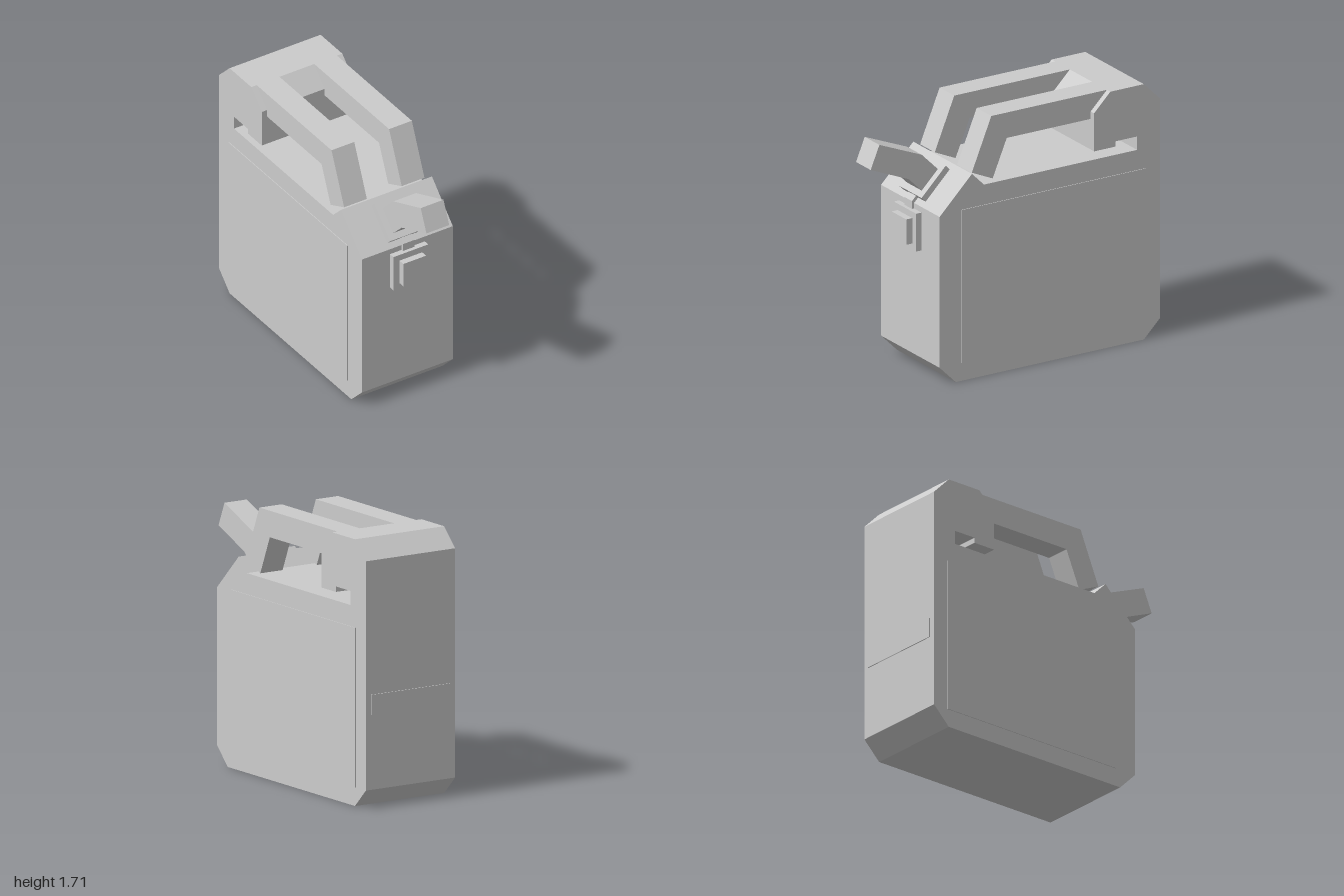
import * as THREE from 'three';

const material = new THREE.MeshStandardMaterial({ color: 0xcccccc, flatShading: true });

export function createModel() {
  const model = new THREE.Group();

  // Side profile of [z, y] points, extruded across x and centred on cx
  function slab(name, points, width, cx = 0) {
    const shape = new THREE.Shape(points.map(([z, y]) => new THREE.Vector2(z, y)));
    const geometry = new THREE.ExtrudeGeometry(shape, { depth: width, bevelEnabled: false });
    geometry.translate(0, 0, -width / 2).rotateY(-Math.PI / 2);
    const mesh = new THREE.Mesh(geometry, material);
    mesh.name = name;
    mesh.position.x = cx;
    model.add(mesh);
  }

  // Box given by its limits on each axis
  function block(name, [x0, x1], [y0, y1], [z0, z1]) {
    const mesh = new THREE.Mesh(new THREE.BoxGeometry(x1 - x0, y1 - y0, z1 - z0), material);
    mesh.name = name;
    mesh.position.set((x0 + x1) / 2, (y0 + y1) / 2, (z0 + z1) / 2);
    model.add(mesh);
  }

  // Can body with chamfered corners, raised front lip and rear hook
  slab('body', [
    [0.53, 0], [0.65, 0.12], [0.65, 1.13], [0.41, 1.37], [0.32, 1.28],
    [-0.82, 1.28], [-0.82, 1.37], [-0.66, 1.37], [-0.66, 1.335], [-0.5, 1.335],
    [-0.5, 1.59], [-0.62, 1.71], [-0.87, 1.71], [-0.99, 1.59], [-0.99, 0.12], [-0.87, 0],
  ], 0.68);

  for (const side of [-1, 1]) {
    const label = side > 0 ? 'left' : 'right';

    // Bent carrying handle
    slab(label + 'Handle', [
      [-0.62, 1.71], [0.24, 1.71], [0.385, 1.36], [0.23, 1.29],
      [0.125, 1.54], [-0.5, 1.54], [-0.5, 1.59],
    ], 0.17, side * 0.215);

    // Thin raised side panel
    const xs = [side * 0.335, side * 0.345].sort((a, b) => a - b);
    block(label + 'SidePanel', xs, [0.12, 1.145], [-0.88, 0.49]);
  }

  // Thin plate on the back
  block('backPlate', [-0.3, 0.3], [0.6, 0.73], [-0.996, -0.98]);

  // Spout and its mounting plate on the sloping shoulder
  slab('spoutPlate', [[0.62, 1.16], [0.65, 1.19], [0.47, 1.37], [0.44, 1.34]], 0.26);
  slab('spout', [
    [0.935, 1.59], [0.62, 1.46], [0.5, 1.34], [0.62, 1.22], [0.717, 1.316], [1, 1.435],
  ], 0.17);

  // Front fastener: hinge strip, base and button
  slab('hingeStrip', [
    [0.65, 1.09], [0.665, 1.09], [0.665, 1.145], [0.635, 1.175], [0.62, 1.16], [0.65, 1.13],
  ], 0.085);
  block('fastenerBase', [-0.13, 0.13], [0.84, 1.093], [0.64, 0.69]);
  block('fastenerButton', [-0.085, 0.085], [0.88, 1.05], [0.68, 0.735]);

  return model;
}
